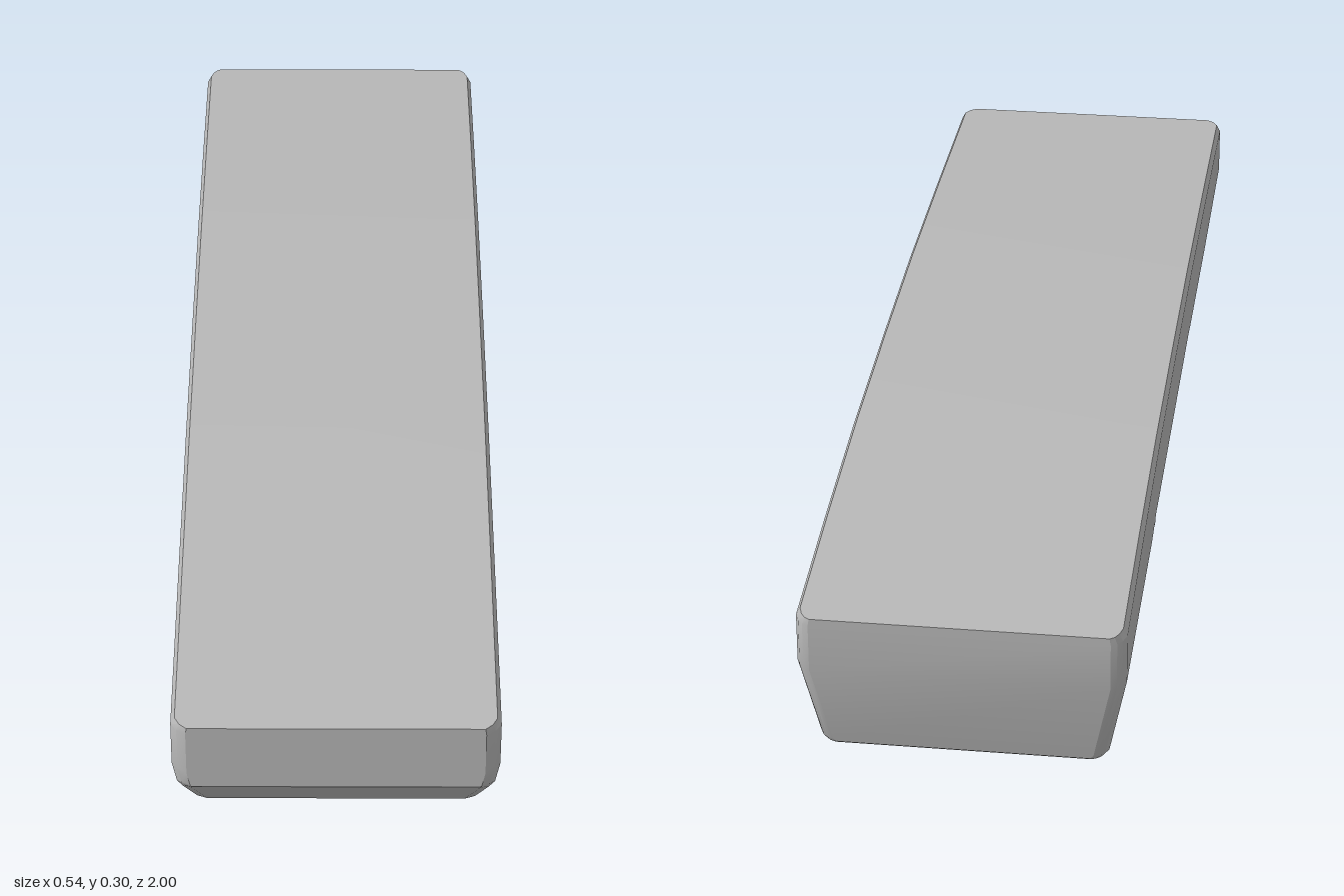
import * as THREE from 'three';
import { toCreasedNormals } from 'three/addons/utils/BufferGeometryUtils.js';

// Gently arched top line as [z, y]
const TOP = [[1, 0.262], [0.6, 0.283], [0.25, 0.297], [-0.08, 0.3], [-0.4, 0.297], [-0.7, 0.283], [-1, 0.262]];

// Sections from front to back: [z, underside height, lower bevel, side inset]
const SECTIONS = [
  [1, 0.135, 0.003, 0.025], [0.99, 0.123, 0.016, 0.01], [0.975, 0.106, 0.024, 0],
  [0.9, 0.015, 0.024, 0], [0.885, 0.006, 0.022, 0], [0.6, 0.0766, 0.016, 0],
  [0.25, 0.163, 0.012, 0], [0.22, 0.168, 0.01, 0], [-0.08, 0.168, 0.01, 0],
  [-0.4, 0.168, 0.01, 0], [-0.465, 0.168, 0.012, 0], [-0.475, 0.155, 0.016, 0],
  [-0.535, 0.008, 0.022, 0], [-0.545, 0, 0.02, 0], [-0.7, 0, 0.014, 0],
  [-0.97, 0, 0.014, 0], [-0.985, 0, 0.014, 0.006], [-0.995, 0.003, 0.012, 0.014], [-1, 0.008, 0.008, 0.024],
];

function topHeight(z) {
  const i = Math.max(1, TOP.findIndex((p) => p[0] <= z));
  const [z0, y0] = TOP[i - 1], [z1, y1] = TOP[i];
  return y0 + ((y1 - y0) * (z - z0)) / (z1 - z0);
}

// Sides are upright above y = 0.165 and taper inwards below
const halfWidth = (y) => 0.236 + 0.032 * Math.min(1, y / 0.165);

// Right-hand half of one section, from the underside up
function halfSection([z, yb, bevel, inset]) {
  const yt = topHeight(z);
  const yBevel = yb + bevel * 0.8;
  const yMid = Math.max(0.165, yBevel + 0.005);
  return [
    [halfWidth(yb) - inset - bevel, yb],
    [halfWidth(yb) - inset - bevel * 0.3, yb + bevel * 0.25],
    [halfWidth(yBevel) - inset, yBevel],
    [halfWidth(yMid) - inset, yMid],
    [0.268 - inset, yt - 0.013],
    [0.261 - inset * 0.8, yt],
  ];
}

function bodyGeometry() {
  const positions = [], index = [];
  for (const section of SECTIONS) {
    const half = halfSection(section);
    const ring = [...half, ...half.map(([x, y]) => [-x, y]).reverse()];
    for (const [x, y] of ring) {
      // The rear face leans forward towards its foot
      const lean = THREE.MathUtils.clamp((-0.7 - section[0]) / 0.3, 0, 1);
      positions.push(x, y, section[0] + 0.035 * lean * Math.max(0, 1 - y / 0.165));
    }
  }
  const n = 12, last = (SECTIONS.length - 1) * n;
  // Skin between sections
  for (let i = 0; i < last; i += n) {
    for (let j = 0; j < n; j++) {
      const a = i + j, b = i + ((j + 1) % n);
      index.push(a, a + n, b + n, a, b + n, b);
    }
  }
  // End faces
  for (let k = 0; k < 5; k++) {
    const a = k, b = k + 1, c = n - 2 - k, d = n - 1 - k;
    index.push(a, b, c, a, c, d);
    index.push(last + a, last + c, last + b, last + a, last + d, last + c);
  }
  const g = new THREE.BufferGeometry();
  g.setAttribute('position', new THREE.Float32BufferAttribute(positions, 3));
  g.setIndex(index);
  return toCreasedNormals(g.toNonIndexed(), 0.4);
}

export function createModel() {
  const model = new THREE.Group();
  model.name = 'handset';
  const grey = new THREE.MeshStandardMaterial({ color: 0xb8b8b8 });
  grey.name = 'grey plastic';
  const pale = new THREE.MeshStandardMaterial({ color: 0xe6e6e6 });
  pale.name = 'pale slot';

  const body = new THREE.Mesh(bodyGeometry(), grey);
  body.name = 'handsetBody';
  model.add(body);

  // Small slots on the underside of each end
  const slot = (name, y, z, tilt) => {
    const mesh = new THREE.Mesh(new THREE.BoxGeometry(0.045, 0.004, 0.022), pale);
    mesh.name = name;
    mesh.position.set(0, y, z);
    mesh.rotation.x = tilt;
    model.add(mesh);
  };
  slot('mouthpieceSlot', 0.0492, 0.71, 0.242);
  slot('earpieceSlot', 0.0015, -0.75, 0);
  return model;
}
